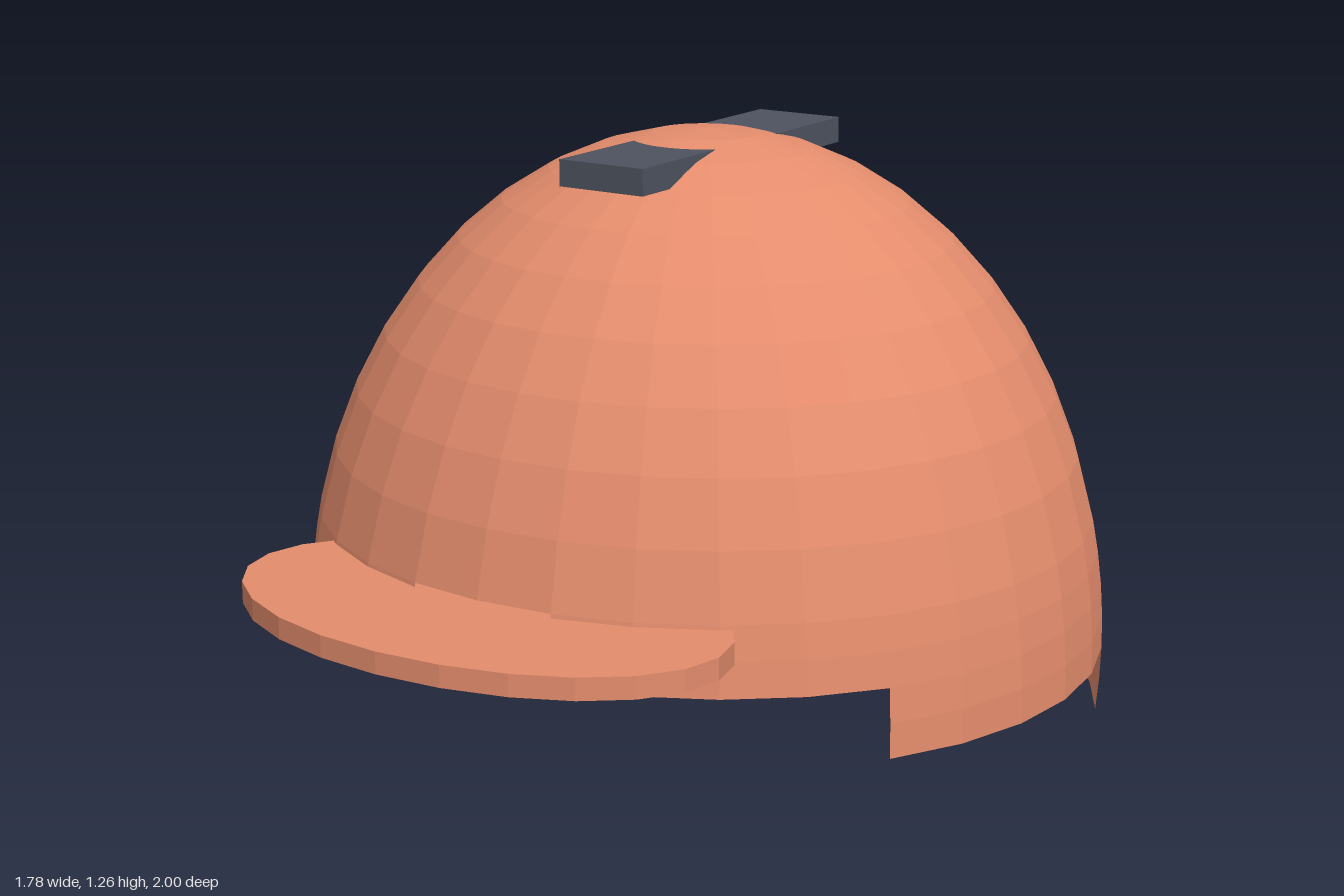
import * as THREE from 'three';
import { mergeGeometries } from 'three/addons/utils/BufferGeometryUtils.js';

const COLUMNS = 32;                      // facets around the dome
const COL = (Math.PI * 2) / COLUMNS;
const ROW = Math.PI / 24;                // facet height angle
const DOME_Z = -0.144;

// Patch of the unit sphere; columns are counted from the front centre.
function patch(firstCol, cols, firstRow, rows) {
  return new THREE.SphereGeometry(1, cols, rows,
    Math.PI / 2 + firstCol * COL, cols * COL, firstRow * ROW, rows * ROW);
}

export function createModel() {
  const group = new THREE.Group();
  const shellMaterial = new THREE.MeshStandardMaterial({
    color: 0xe58d6d, flatShading: true, side: THREE.DoubleSide,
  });
  const barMaterial = new THREE.MeshStandardMaterial({ color: 0x4d5360, flatShading: true });

  // Open dome whose lower rim steps down from front to back
  const dome = new THREE.Mesh(mergeGeometries([
    patch(0, COLUMNS, 0, 10),            // full crown
    patch(1, 30, 10, 1),                 // row with the front notch
    patch(5, 22, 11, 1),                 // sides and back
    patch(10, 5, 12, 1),                 // rear flaps either side of the back notch
    patch(17, 5, 12, 1),
  ]), shellMaterial);
  dome.name = 'dome';
  dome.scale.set(0.888, 1.111, 0.855);
  dome.position.set(0, 0.145, DOME_Z);
  group.add(dome);

  // Flat oval brim at the front
  const brim = new THREE.Mesh(new THREE.CylinderGeometry(1, 1, 0.046, 24), shellMaterial);
  brim.name = 'brim';
  brim.scale.set(0.555, 1, 0.328);
  brim.position.set(0, 0.401, 0.668);
  group.add(brim);

  // Bar running front to back through the crown
  const bar = new THREE.Mesh(new THREE.BoxGeometry(0.205, 0.056, 0.782), barMaterial);
  bar.name = 'crownBar';
  bar.position.set(0, 1.207, DOME_Z);
  group.add(bar);

  return group;
}
